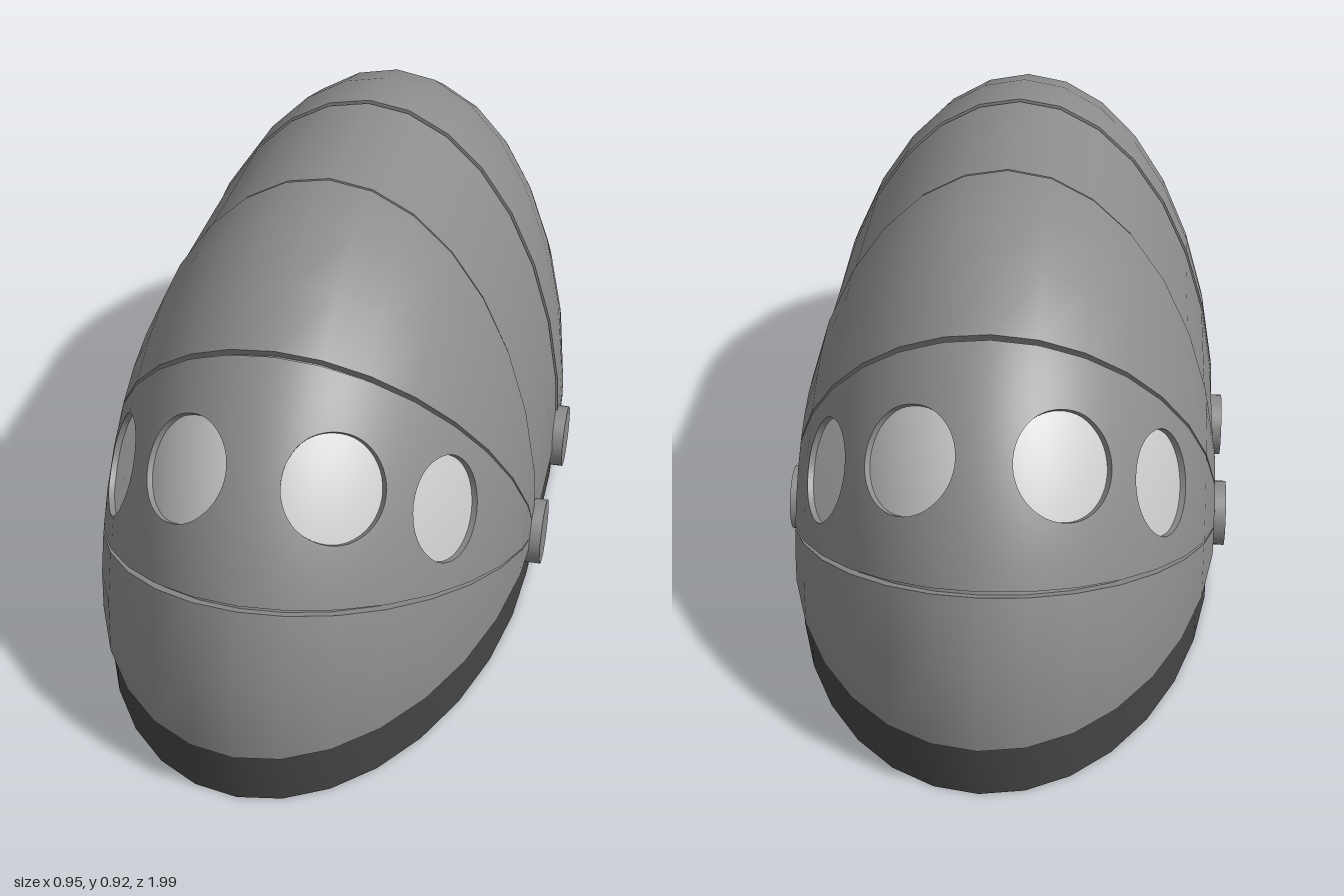
import * as THREE from 'three';
import { mergeGeometries, toCreasedNormals } from 'three/addons/utils/BufferGeometryUtils.js';

const A = 0.455, B = 0.81;        // half width and height of the shell
const Y0 = 0.115, Z0 = 0.185;     // pivot the end panels fan around
const STEP = 11.25, GAP = 0.4;    // facet size and half seam width, degrees
const DEPTH = 0.022, PANE = 0.012;
const RAD = Math.PI / 180;

const shellMat = new THREE.MeshStandardMaterial({ color: 0x8c8c8c });
const baseMat = new THREE.MeshStandardMaterial({ color: 0x444444 });
const paneMat = new THREE.MeshStandardMaterial({ color: 0xcccccc });

const range = (a, b, n) => Array.from({ length: n + 1 }, (_, i) => a + (b - a) * i / n);
const ALL_T = range(-90, 90, 16);

const ellipsoid = (t, p) => new THREE.Vector3(
  A * Math.sin(t * RAD),
  Y0 + B * Math.cos(t * RAD) * Math.sin(p * RAD),
  Z0 + B * Math.cos(t * RAD) * Math.cos(p * RAD));

// Point on the faceted end dome: t runs across the width, p fans up, d goes inward
function dome(t, p, d = 0) {
  const i = Math.min(Math.floor(t / STEP + 1e-6), 7), f = t / STEP - i;
  const j = Math.min(Math.floor(p / STEP + 1e-6), 7), g = p / STEP - j;
  const row = k => ellipsoid(i * STEP, k * STEP).lerp(ellipsoid((i + 1) * STEP, k * STEP), f);
  const pos = row(j).lerp(row(j + 1), g);
  const s = ellipsoid(t, p);
  const n = new THREE.Vector3(s.x / A ** 2, (s.y - Y0) / B ** 2, (s.z - Z0) / B ** 2).normalize();
  return { pos: pos.addScaledVector(n, -d), n };
}

// Point on the straight middle section
function middle(t, z, d = 0) {
  const q = dome(t, 90, d);
  q.pos.z = z;
  return q;
}

// Grid surface from fn(u, v) -> { pos, n }; triangles are turned to agree with n
function patch(fn, us, vs) {
  const pts = us.flatMap(u => vs.map(v => fn(u, v)));
  const index = [], w = vs.length;
  const tri = (a, b, c) => {
    const e = pts[b].pos.clone().sub(pts[a].pos);
    const face = e.cross(pts[c].pos.clone().sub(pts[a].pos));
    if (face.length() < 1e-9) return;
    const sum = pts[a].n.clone().add(pts[b].n).add(pts[c].n);
    if (face.dot(sum) > 0) index.push(a, b, c); else index.push(a, c, b);
  };
  for (let i = 0; i < us.length - 1; i++) for (let j = 0; j < w - 1; j++) {
    const a = i * w + j;
    tri(a, a + w, a + w + 1);
    tri(a, a + w + 1, a + 1);
  }
  const geo = new THREE.BufferGeometry();
  geo.setAttribute('position', new THREE.Float32BufferAttribute(pts.flatMap(q => q.pos.toArray()), 3));
  geo.setAttribute('normal', new THREE.Float32BufferAttribute(pts.flatMap(q => q.n.toArray()), 3));
  geo.setIndex(index);
  return geo;
}

function part(name, geos, mat) {
  const mesh = new THREE.Mesh(Array.isArray(geos) ? mergeGeometries(geos) : geos, mat);
  mesh.name = name;
  return mesh;
}

// Rim of a panel along a line of constant fan angle
const fanEdge = (p, sign) => patch((t, d) => ({
  pos: dome(t, p, d).pos,
  n: new THREE.Vector3(0, sign * Math.cos(p * RAD), -sign * Math.sin(p * RAD)),
}), ALL_T, [0, DEPTH]);

// Fan angles between two edges, kept on the facet lines
const fanSteps = (p0, p1) => [p0, ...range(0, 90, 8).filter(p => p > p0 + 1 && p < p1 - 1), p1];

function plainPanel(name, p0, p1) {
  return part(name, [patch(dome, ALL_T, fanSteps(p0, p1)), fanEdge(p0, -1), fanEdge(p1, 1)], shellMat);
}

// Round window outline of radius R on the dome around (t0, p0)
function windowPoint(t0, p0, R, angle) {
  const slope = Math.hypot(A * Math.cos(t0 * RAD), B * Math.sin(t0 * RAD));
  const t = t0 + R * Math.cos(angle) / slope / RAD;
  return [t, p0 + R * Math.sin(angle) / (B * Math.cos(t * RAD)) / RAD];
}

// Panel with four round windows; each sits in its own cell
function windowPanel(p0, p1) {
  const group = new THREE.Group();
  group.name = 'windowPanel';
  const geos = [fanEdge(p0, -1), fanEdge(p1, 1)];
  const pc = (p0 + p1) / 2 + 0.4, R = 0.105, N = 16;
  for (const side of [-1, 1]) {
    geos.push(patch(dome, [67.5 * side, 78.75 * side, 90 * side], fanSteps(p0, p1)));
    for (const [ta, tb, tc] of [[0, 33.75, 18.6], [33.75, 67.5, 46.5]]) {
      const t0 = tc * side, lo = Math.min(ta * side, tb * side), hi = Math.max(ta * side, tb * side);
      // cell border, walked corner to corner
      const corners = [[lo, p0], [hi, p0], [hi, p1], [lo, p1]];
      const border = range(0, 4 * N, 4 * N).map(k => {
        const c = corners[Math.floor(k / N) % 4], e = corners[(Math.floor(k / N) + 1) % 4], f = (k % N) / N;
        return [c[0] + (e[0] - c[0]) * f, c[1] + (e[1] - c[1]) * f];
      });
      const hole = border.map(([t, p]) => windowPoint(t0, pc, R, Math.atan2((p - pc) / 17, (t - t0) / 17)));
      const ks = border.map((_, k) => k);
      geos.push(patch((k, f) => dome(
        hole[k][0] + (border[k][0] - hole[k][0]) * f,
        hole[k][1] + (border[k][1] - hole[k][1]) * f), ks, range(0, 1, 5)));
      // window reveal
      const centre = dome(t0, pc).pos;
      geos.push(patch((k, d) => {
        const pos = dome(...hole[k], d).pos;
        return { pos, n: centre.clone().sub(pos).normalize() };
      }, ks, [0, PANE]));
      // pane set back in the hole
      group.add(part('windowPane', patch((k, f) => dome(
        t0 + (hole[k][0] - t0) * f, pc + (hole[k][1] - pc) * f, PANE), ks, range(0, 1, 4)), paneMat));
    }
  }
  group.add(part('windowPanelShell', geos, shellMat));
  return group;
}

function shellEnd(name) {
  const group = new THREE.Group();
  group.name = name;
  group.add(
    plainPanel('lowerPanel', 0, 22.5 - GAP),
    windowPanel(22.5 + GAP, 56.25 - GAP),
    plainPanel('upperPanel', 56.25 + GAP, 90 - GAP),
    part('innerLiner', patch((t, p) => dome(t, p, DEPTH), ALL_T, range(0, 90, 8)), shellMat));
  return group;
}

function middleSection() {
  const zs = [-(Z0 - 0.005), Z0 - 0.005], inset = 0.003;
  const geos = [patch((t, z) => middle(t, z, inset), ALL_T, zs)];
  for (const s of [-1, 1]) {
    geos.push(patch((t, d) => ({ pos: middle(t, s * zs[1], d).pos, n: new THREE.Vector3(0, 0, s) }),
      ALL_T, [inset, DEPTH]));
    geos.push(patch((z, d) => ({ pos: middle(s * 90, z, d).pos, n: new THREE.Vector3(0, -1, 0) }),
      zs, [inset, DEPTH]));
  }
  geos.push(patch((t, z) => middle(t, z, DEPTH), ALL_T, [-Z0, Z0]));
  return part('middleSection', geos, shellMat);
}

// Base plinth: two half ellipses joined by straight sides
function base() {
  const pts = [];
  for (const s of [1, -1]) for (const a of range(0, 180, 16)) {
    pts.push(new THREE.Vector2(s * 0.443 * Math.cos(a * RAD), s * (Z0 + 0.797 * Math.sin(a * RAD))));
  }
  const geo = new THREE.ExtrudeGeometry(new THREE.Shape(pts), { depth: Y0, bevelEnabled: false });
  geo.rotateX(-Math.PI / 2);
  return part('base', toCreasedNormals(geo, 0.6), baseMat);
}

export function createModel() {
  const model = new THREE.Group();
  model.name = 'foldingShell';
  const front = shellEnd('frontShell'), back = shellEnd('backShell');
  back.rotation.y = Math.PI;
  model.add(base(), middleSection(), front, back);

  // pivot hubs on both sides
  for (const x of [-1, 1]) for (const z of [-1, 1]) {
    const hub = part('pivotHub', new THREE.CylinderGeometry(0.07, 0.07, 0.04, 32), shellMat);
    hub.rotation.z = Math.PI / 2;
    hub.position.set(x * 0.455, Y0, z * Z0);
    model.add(hub);
  }
  return model;
}
